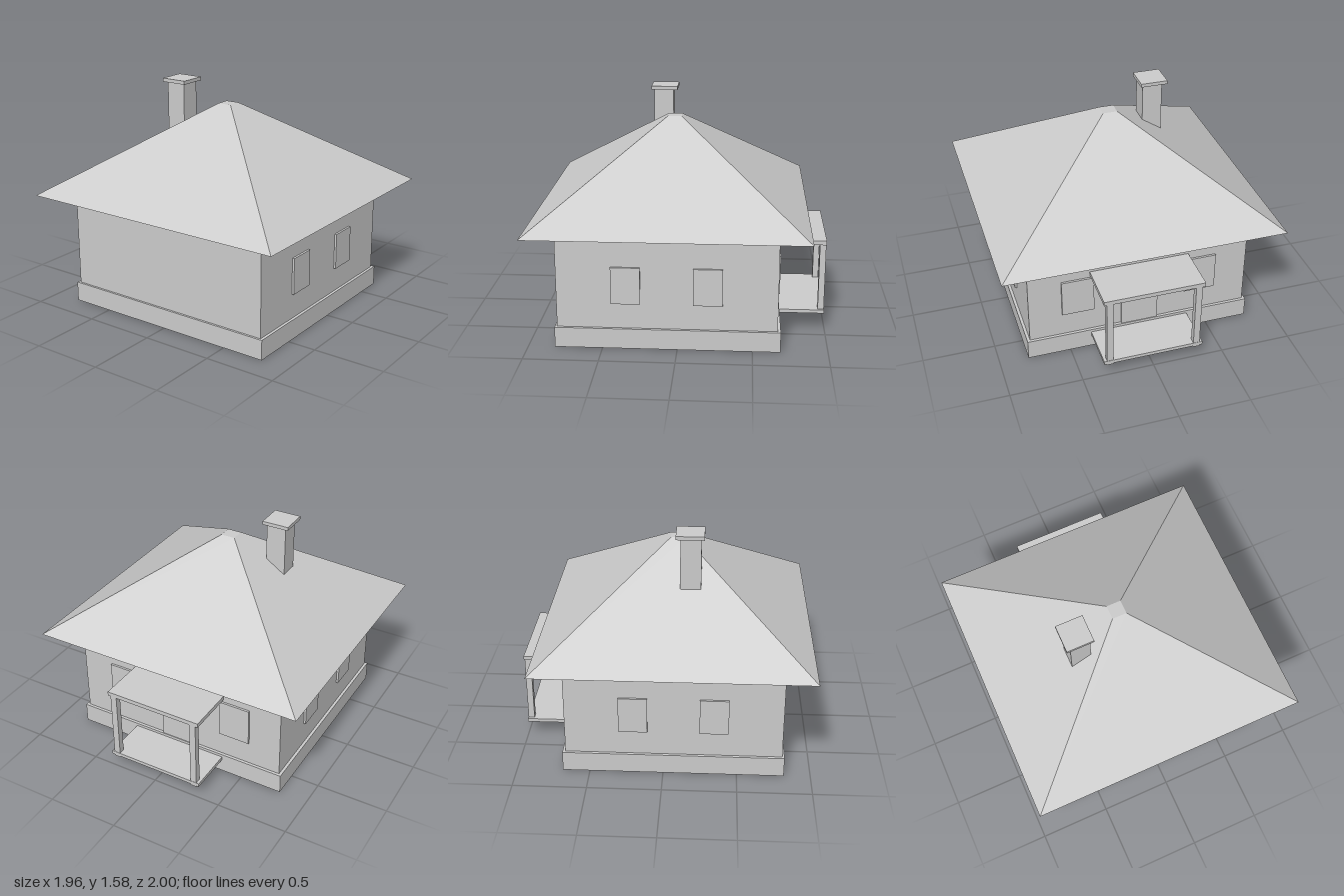
import * as THREE from 'three';

export function createModel() {
  const house = new THREE.Group();
  house.name = 'house';
  const plaster = new THREE.MeshStandardMaterial({ color: 0xcccccc });
  plaster.name = 'plain grey';

  // Box from its minimum and maximum along each axis
  function addBox(name, [x0, x1], [y0, y1], [z0, z1], parent = house) {
    const mesh = new THREE.Mesh(new THREE.BoxGeometry(x1 - x0, y1 - y0, z1 - z0), plaster);
    mesh.position.set((x0 + x1) / 2, (y0 + y1) / 2, (z0 + z1) / 2);
    mesh.name = name;
    parent.add(mesh);
    return mesh;
  }

  // Plinth and walls
  addBox('plinth', [-0.8, 0.8], [0, 0.14], [-0.685, 0.82]);
  addBox('walls', [-0.78, 0.78], [0.14, 0.81], [-0.665, 0.805]);

  // Hipped roof: a box whose upper corners are drawn in to a small flat top
  const roof = addBox('roof', [-0.98, 0.98], [0.81, 1.425], [-0.87, 1]);
  const corners = roof.geometry.attributes.position;
  for (let i = 0; i < corners.count; i++) {
    if (corners.getY(i) > 0) {
      corners.setX(i, Math.sign(corners.getX(i)) * 0.05);
      corners.setZ(i, Math.sign(corners.getZ(i)) * 0.048);
    }
  }
  roof.geometry.computeVertexNormals();

  // Chimney
  const chimney = new THREE.Group();
  chimney.name = 'chimney';
  house.add(chimney);
  addBox('chimneyStack', [-0.4, -0.26], [1, 1.555], [0.095, 0.235], chimney);
  addBox('chimneyCap', [-0.43, -0.24], [1.555, 1.58], [0.065, 0.255], chimney);

  // Porch
  const porch = new THREE.Group();
  porch.name = 'porch';
  house.add(porch);
  addBox('porchFloor', [-0.35, 0.35], [0.095, 0.12], [-1, -0.68], porch);
  addBox('porchRoof', [-0.35, 0.35], [0.6, 0.63], [-1, -0.66], porch);

  // Door
  addBox('door', [-0.13, 0.13], [0.14, 0.59], [-0.68, -0.66]);

  // Parts mirrored on both sides: porch posts, back windows, side windows
  for (const side of [-1, 1]) {
    const span = (a, b) => (side > 0 ? [a, b] : [-b, -a]);
    addBox('porchPost', span(0.285, 0.33), [0.085, 0.6], [-0.998, -0.955], porch);
    addBox('backWindow', span(0.325, 0.55), [0.315, 0.585], [-0.68, -0.66]);
    for (const z of [-0.3, 0.245]) {
      addBox('sideWindow', span(0.775, 0.795), [0.315, 0.57], [z, z + 0.195]);
    }
  }
  return house;
}
